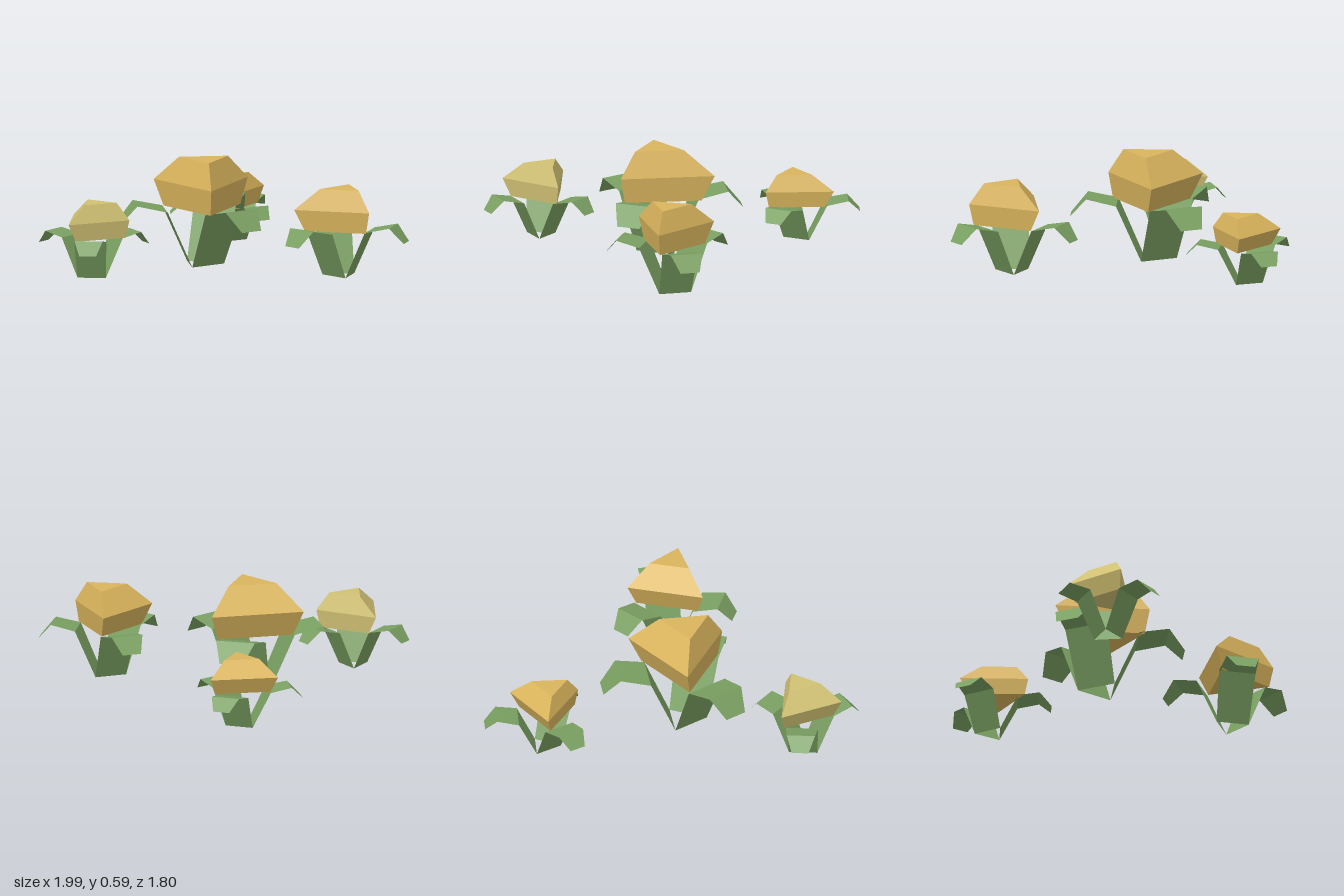
import * as THREE from 'three';

// Flat-shaded geometry from a list of corner points, three per triangle
function flatGeometry(points) {
  const geometry = new THREE.BufferGeometry().setFromPoints(points);
  geometry.computeVertexNormals();
  return geometry;
}

// Three-sided bud: [height, radius, shift toward the pointed corner]
function budGeometry() {
  const rings = [[0.31, 0.245, 0.025], [0.45, 0.3, 0], [0.59, 0.156, 0.045]].map(([y, r, shift]) =>
    [0, 1, 2].map((i) => {
      const a = Math.PI / 2 + (i * Math.PI * 2) / 3;
      return new THREE.Vector3(Math.cos(a) * r, y, Math.sin(a) * r + shift);
    }));
  const points = [...rings[0], rings[2][2], rings[2][1], rings[2][0]];
  for (let k = 0; k < 2; k++) {
    for (let i = 0; i < 3; i++) {
      const j = (i + 1) % 3;
      const [b, t] = [rings[k], rings[k + 1]];
      points.push(b[j], b[i], t[i], b[j], t[i], t[j]);
    }
  }
  return flatGeometry(points);
}

// Thin drooping leaf along +x: [distance out, height, half width]
function leafGeometry() {
  const rows = [[0.063, 0, 0.11], [0.2, 0.31, 0.125], [0.365, 0.345, 0.11], [0.455, 0.24, 0.065]]
    .map(([x, y, w]) => [new THREE.Vector3(x, y, w), new THREE.Vector3(x, y, -w)]);
  const points = [];
  for (let k = 0; k < rows.length - 1; k++) {
    const [a, b] = rows[k];
    const [c, d] = rows[k + 1];
    points.push(a, d, b, a, c, d);
  }
  return flatGeometry(points);
}

export function createModel() {
  const gold = new THREE.MeshStandardMaterial({ color: 0xd9b45c, flatShading: true });
  gold.name = 'gold';
  const pale = new THREE.MeshStandardMaterial({ color: 0xd1c173, flatShading: true });
  pale.name = 'paleGold';
  const green = new THREE.MeshStandardMaterial({ color: 0x7aa062, flatShading: true, side: THREE.DoubleSide });
  green.name = 'leafGreen';

  const budShape = budGeometry();
  const leafShape = leafGeometry();
  const model = new THREE.Group();
  model.name = 'flowerPatch';

  // Leaf centre, bud centre, width scale, height scale, turn in degrees
  const plants = [
    { name: 'tallPlant', leaf: [-0.079, 0.173], bud: [-0.06, 0.157], width: 1, height: 1, turn: 0, color: gold },
    { name: 'rightPlant', leaf: [0.632, 0.633], bud: [0.615, 0.635], width: 0.82, height: 0.83, turn: 37, color: gold },
    { name: 'leftPlant', leaf: [-0.722, 0.498], bud: [-0.73, 0.487], width: 0.71, height: 0.695, turn: 78, color: pale },
    { name: 'backPlant', leaf: [0.18, -0.599], bud: [0.183, -0.588], width: 0.72, height: 0.63, turn: -4.5, color: gold },
  ];

  for (const p of plants) {
    const plant = new THREE.Group();
    plant.name = p.name;
    const turn = THREE.MathUtils.degToRad(p.turn);
    const place = (mesh, name, [x, z], angle) => {
      mesh.name = name;
      mesh.position.set(x, 0, z);
      mesh.scale.set(p.width, p.height, p.width);
      mesh.rotation.y = angle;
      plant.add(mesh);
    };
    place(new THREE.Mesh(budShape, p.color), 'bud', p.bud, turn);
    for (let i = 0; i < 3; i++) {
      place(new THREE.Mesh(leafShape, green), 'leaf', p.leaf, turn + Math.PI + (i * Math.PI * 2) / 3);
    }
    model.add(plant);
  }
  return model;
}
